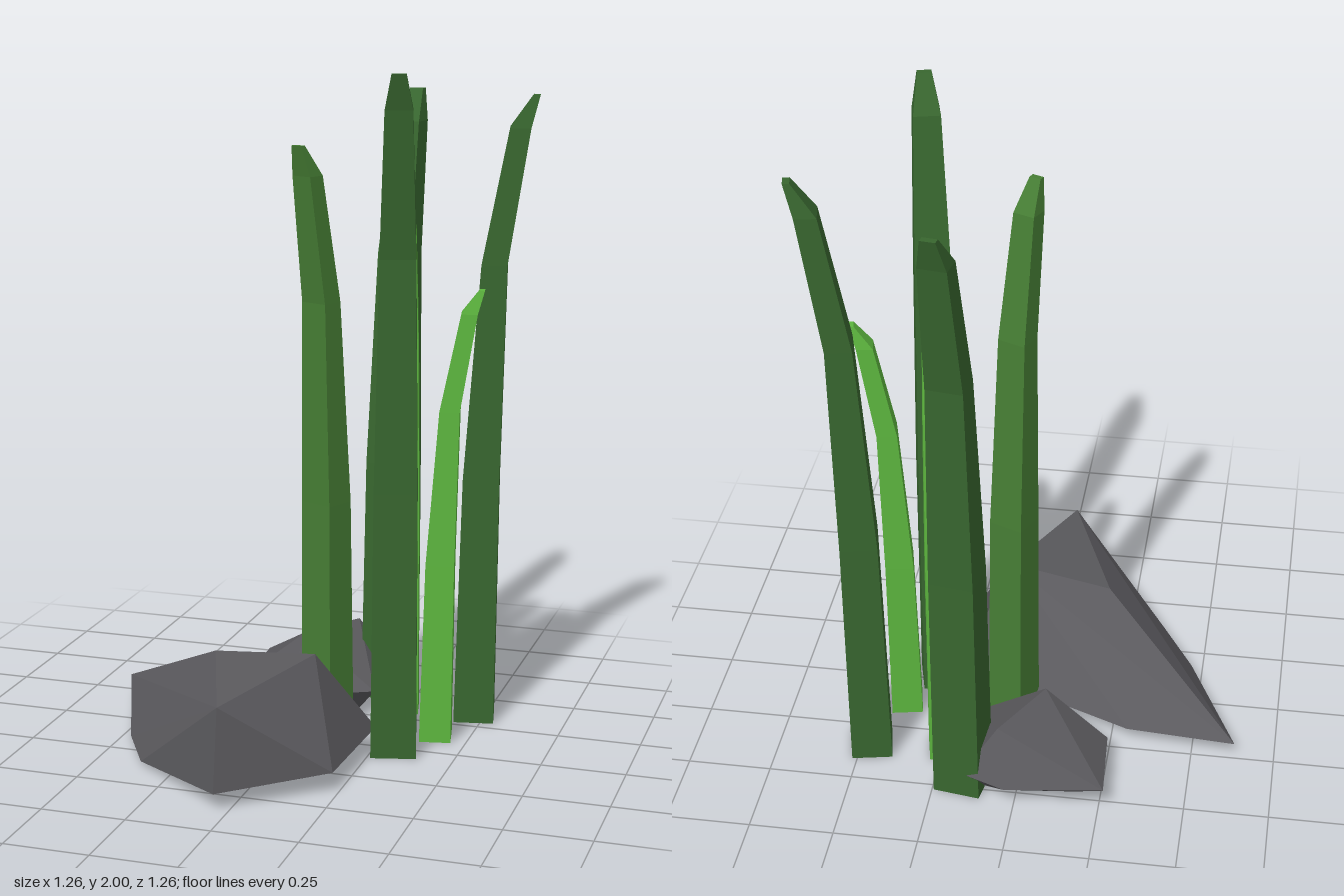
import * as THREE from 'three';
import { ConvexGeometry } from 'three/addons/geometries/ConvexGeometry.js';

const material = (name, color) => {
  const m = new THREE.MeshStandardMaterial({ color, flatShading: true });
  m.name = name;
  return m;
};

// Leaf sections: fraction of height, inner offset, outer offset, width
const SECTIONS = [
  [0, -0.062, 0.062, 0.13],
  [0.4, -0.045, 0.066, 0.122],
  [0.74, 0.0, 0.078, 0.1],
  [0.95, 0.077, 0.14, 0.076],
  [1, 0.145, 0.165, 0.04],
];

// Square-sectioned leaf that tapers and bends towards (dx, dz)
function leafGeometry(x, z, dx, dz, height, scale) {
  const dir = new THREE.Vector2(dx, dz).normalize();
  const rings = SECTIONS.map(([f, sIn, sOut, w]) =>
    [[sIn, -w / 2], [sOut, -w / 2], [sOut, w / 2], [sIn, w / 2]].map(([s, t]) => [
      x + scale * (dir.x * s - dir.y * t),
      f * height,
      z + scale * (dir.y * s + dir.x * t),
    ]));
  const pos = [];
  const quad = (a, b, c, d) => pos.push(...a, ...b, ...c, ...a, ...c, ...d);
  for (let k = 0; k < rings.length - 1; k++) {
    for (let i = 0; i < 4; i++) {
      const j = (i + 1) % 4;
      quad(rings[k][i], rings[k + 1][i], rings[k + 1][j], rings[k][j]);
    }
  }
  const base = rings[0], tip = rings[rings.length - 1];
  quad(base[0], base[1], base[2], base[3]);
  quad(tip[0], tip[3], tip[2], tip[1]);
  const g = new THREE.BufferGeometry();
  g.setAttribute('position', new THREE.Float32BufferAttribute(pos, 3));
  g.computeVertexNormals();
  return g;
}

const rockGeometry = (points) =>
  new ConvexGeometry(points.map((p) => new THREE.Vector3(...p)));

export function createModel() {
  const group = new THREE.Group();
  group.name = 'rocksAndReeds';
  const stone = material('stone grey', 0x5a595d);
  const dark = material('dark green', 0x38662f);
  const medium = material('medium green', 0x467d34);
  const bright = material('bright green', 0x5cb53e);

  const add = (name, geometry, mat) => {
    const mesh = new THREE.Mesh(geometry, mat);
    mesh.name = name;
    group.add(mesh);
  };

  // Rocks
  add('largeRock', rockGeometry([
    [-0.63, 0.05, -0.245], [-0.3, 0.05, -0.22], [0.25, 0.06, 0.0],
    [0.235, 0.06, 0.39], [-0.04, 0.05, 0.62], [-0.04, 0.29, 0.585],
    [-0.2, 0.3, 0.15], [0.12, 0.335, 0.19],
    [-0.36, 0.01, 0.355], [-0.465, 0.01, 0.17], [-0.2, 0.005, -0.08],
    [0.16, 0.005, 0.08], [0.15, 0.005, 0.3],
  ]), stone);
  add('smallRock', rockGeometry([
    [-0.265, 0.08, -0.545], [0.025, 0.08, -0.583], [0.16, 0.08, -0.53],
    [0.176, 0.08, -0.245], [-0.085, 0.07, -0.145], [-0.25, 0.08, -0.305],
    [0.055, 0.23, -0.49], [-0.06, 0.235, -0.29],
    [-0.17, 0, -0.47], [0.1, 0, -0.48], [0.11, 0, -0.28], [-0.08, 0, -0.22],
  ]), stone);

  // Leaves: base x, z, lean direction x, z, height, thickness scale
  const leaves = [
    ['frontLeaf', dark, 0.311, 0.022, 0.25, 0.97, 2.0, 1.03],
    ['backLeaf', dark, 0.165, -0.465, 0.15, -0.99, 1.9, 1.08],
    ['leftLeaf', dark, 0.468, -0.342, 0.98, -0.2, 1.91, 0.98],
    ['rightLeaf', medium, 0.065, -0.115, -0.4, 0.92, 1.78, 0.88],
    ['innerShoot', bright, 0.243, -0.333, 0.22, 0.97, 1.6, 0.74],
    ['outerShoot', bright, 0.4, -0.13, 0.98, -0.2, 1.365, 0.76],
  ];
  for (const [name, mat, ...shape] of leaves) add(name, leafGeometry(...shape), mat);
  return group;
}
